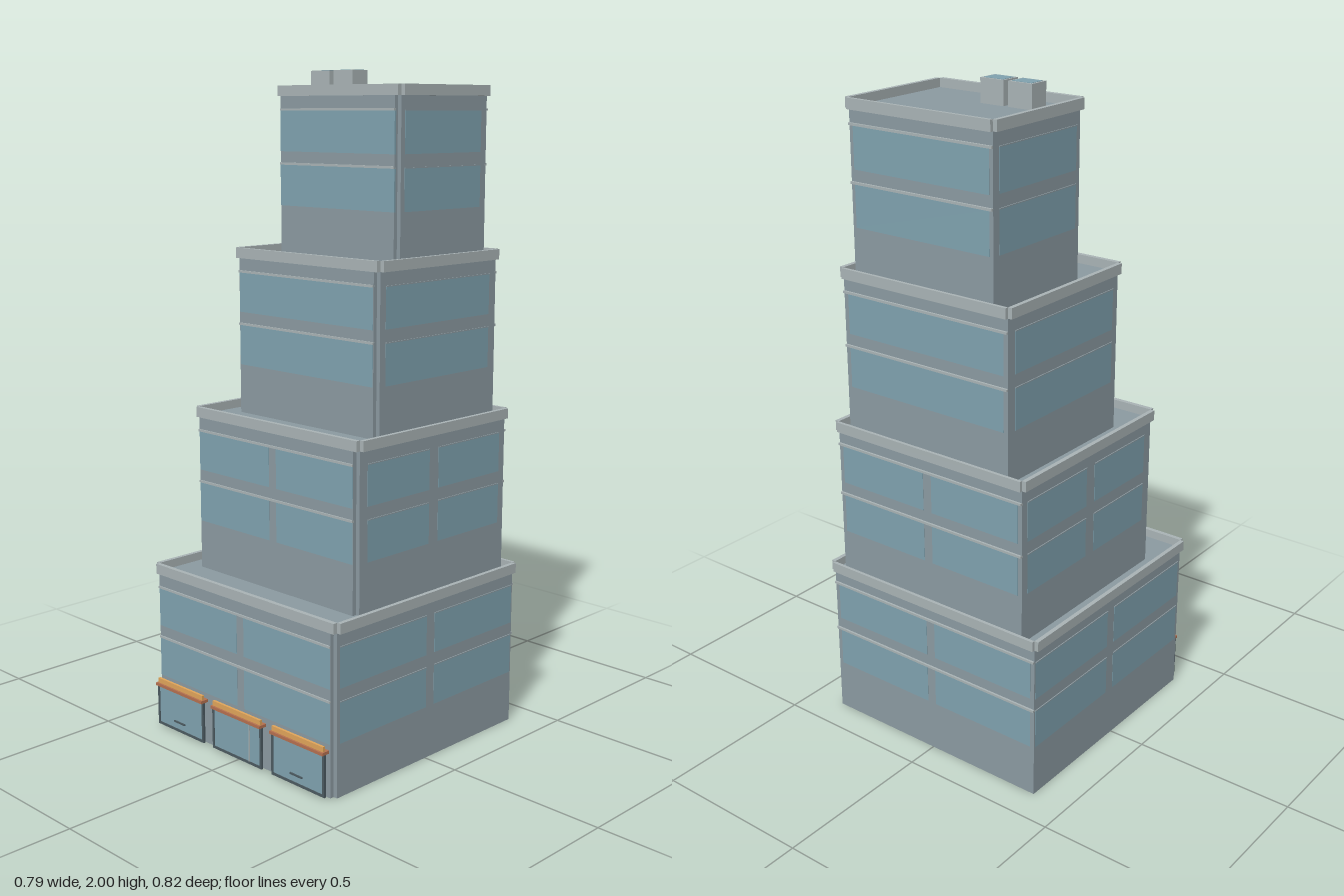
import * as THREE from 'three';

const mat = (color) => new THREE.MeshStandardMaterial({ color });
const wallMat = mat(0x8b9aa1), glassMat = mat(0x7fa2af), trimMat = mat(0xa9b3b5);
const awningMat = mat(0xb5704f), signMat = mat(0xe0a55a), darkMat = mat(0x4c5a60);

const BACK = -0.4;    // all tiers share one back plane
const STEP = 0.48;    // height of one tier
const T = 0.013;      // thickness of parapet and depth of the corner notch

// Box given by its limits on each axis
function box(parent, name, material, x0, x1, y0, y1, z0, z1) {
  const mesh = new THREE.Mesh(new THREE.BoxGeometry(x1 - x0, y1 - y0, z1 - z0), material);
  mesh.position.set((x0 + x1) / 2, (y0 + y1) / 2, (z0 + z1) / 2);
  mesh.name = name;
  parent.add(mesh);
  return mesh;
}

// Tier walls: a rectangular plan with notched front corners
function walls(w, front, y0, y1) {
  const shape = new THREE.Shape([
    [-w, -BACK], [w, -BACK], [w, T - front], [w - T, T - front],
    [w - T, -front], [T - w, -front], [T - w, T - front], [-w, T - front],
  ].map(([x, y]) => new THREE.Vector2(x, y)));
  const geo = new THREE.ExtrudeGeometry(shape, { depth: y1 - y0, bevelEnabled: false });
  geo.rotateX(-Math.PI / 2);
  const mesh = new THREE.Mesh(geo, wallMat);
  mesh.position.y = y0;
  mesh.name = 'tierWalls';
  return mesh;
}

// w: half width, front: front plane, cols / sideCols: window spans on front and sides
const tiers = [
  { w: 0.384, front: 0.384, cols: [[-0.37, -0.015], [0.015, 0.37]], sideCols: [[0, 0.36], [-0.395, -0.035]] },
  { w: 0.339, front: 0.25, cols: [[-0.325, -0.015], [0.015, 0.325]], sideCols: [[-0.055, 0.205], [-0.375, -0.095]] },
  { w: 0.292, front: 0.121, cols: [[-0.277, 0.277]], sideCols: [[-0.37, 0.085]] },
  { w: 0.245, front: -0.011, cols: [[-0.233, 0.233]], sideCols: [[-0.375, -0.04]] },
];

function makeTier({ w, front, cols, sideCols }, i) {
  const g = new THREE.Group();
  g.name = 'tier' + (i + 1);
  const y = i * STEP, roof = y + 0.49, top = y + 0.516, low = y + 0.485;
  g.add(walls(w, front, i ? y + 0.009 : 0, roof));

  // Parapet strips around the flat roof
  box(g, 'frontParapet', trimMat, -w, w, low, top, front - T, front + 0.001);
  box(g, 'backParapet', trimMat, -w, w, low, top, BACK - 0.01, BACK);
  for (const s of [-1, 1]) {
    const a = s * w, b = s * (w + T);
    box(g, 'sideParapet', trimMat, Math.min(a, b), Math.max(a, b), low, top, BACK, front - T);
  }

  // Two rows of windows, each with a thin ledge along its top
  for (const [y0, y1] of [[0.16, 0.282], [0.322, 0.442]]) {
    const b = y + y0, t = y + y1;
    for (const [x0, x1] of cols) {
      box(g, 'frontWindow', glassMat, x0, x1, b, t, front - 0.005, front + 0.001);
      box(g, 'backWindow', glassMat, x0, x1, b, t, BACK - 0.001, BACK + 0.005);
    }
    box(g, 'frontLedge', trimMat, -w + T, w - T, t, t + 0.007, front - 0.005, front + 0.004);
    box(g, 'backLedge', trimMat, -w, w, t, t + 0.007, BACK - 0.006, BACK + 0.005);
    for (const [z0, z1] of sideCols) for (const s of [-1, 1]) {
      const x = s * (w - 0.002);
      box(g, 'sideWindow', glassMat, x - 0.003, x + 0.003, b, t, z0, z1);
      box(g, 'sideLedge', wallMat, x - 0.005, x + 0.005, t, t + 0.003, z0, z1);
    }
  }
  return g;
}

// Shop front: framed glazing below an awning with an upright board
function makeShop(cx, i) {
  const g = new THREE.Group();
  g.name = 'shopFront' + (i + 1);
  const h = 0.108;
  box(g, 'awning', awningMat, -h, h, 0.133, 0.142, 0.384, 0.411);
  box(g, 'awningBoard', signMat, -h + 0.004, h - 0.004, 0.142, 0.157, 0.397, 0.405);
  box(g, 'shopGlass', glassMat, -h + 0.006, h - 0.006, 0.012, 0.133, 0.398, 0.402);
  box(g, 'sill', darkMat, -h, h, 0.006, 0.014, 0.397, 0.404);
  for (const s of [-1, 1]) {
    box(g, 'shopPost', darkMat, s * (h - 0.004) - 0.004, s * (h - 0.004) + 0.004, 0.006, 0.133, 0.397, 0.404);
  }
  if (i === 1) box(g, 'doorBar', trimMat, 0.053, 0.057, 0.014, 0.133, 0.398, 0.404);
  else box(g, 'doorHandle', darkMat, -0.03, 0.02, 0.034, 0.039, 0.401, 0.406);
  g.position.x = cx;
  return g;
}

export function createModel() {
  const model = new THREE.Group();
  model.name = 'steppedTower';
  tiers.forEach((t, i) => model.add(makeTier(t, i)));
  [-0.258, 0, 0.258].forEach((x, i) => model.add(makeShop(x, i)));

  // Rooftop units with glazed tops
  for (const x of [-0.173, -0.078]) {
    box(model, 'roofUnit', trimMat, x, x + 0.079, 1.925, 1.999, -0.143, -0.08);
    box(model, 'roofUnitPanel', glassMat, x + 0.007, x + 0.072, 1.99, 2, -0.136, -0.087);
  }
  return model;
}
